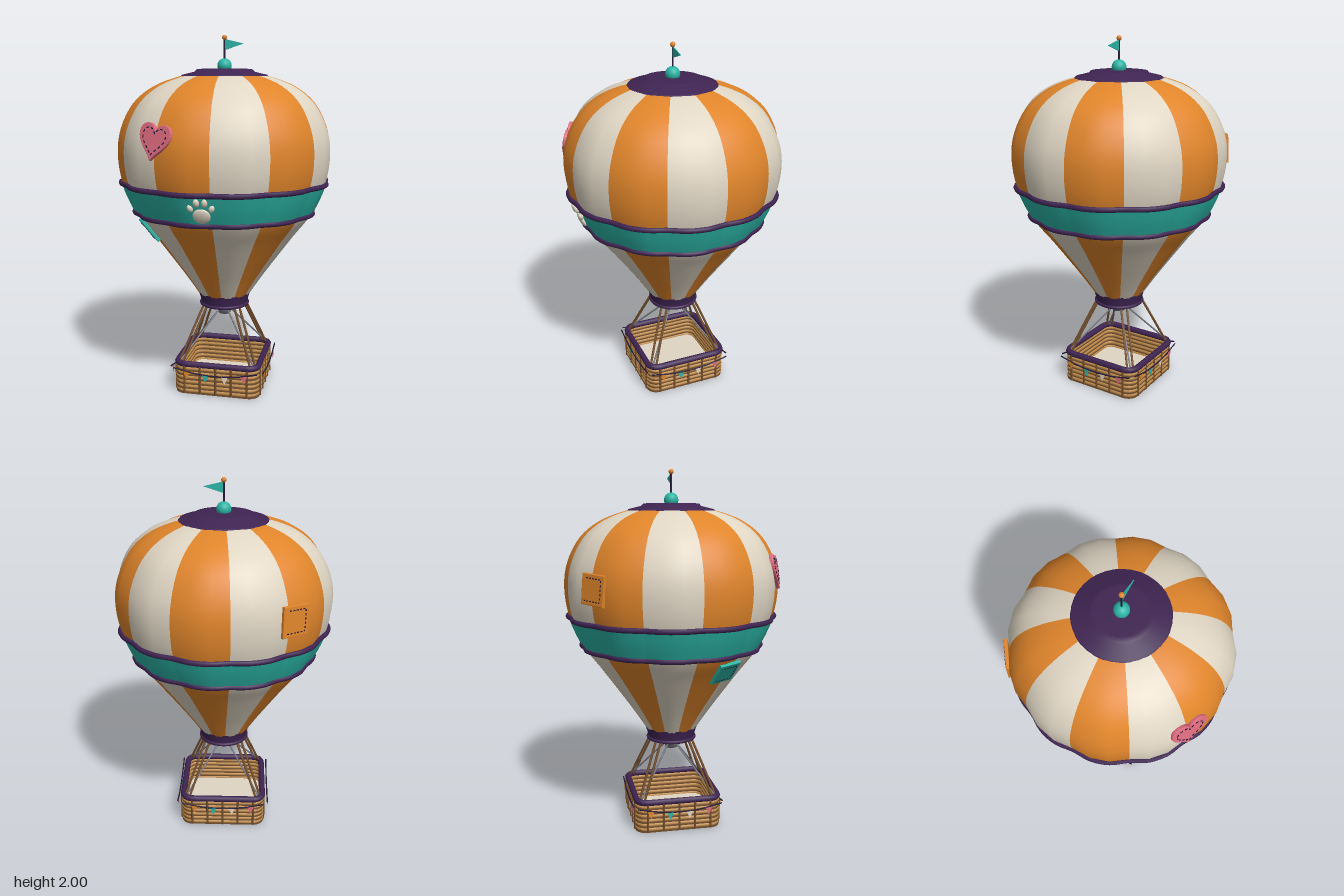
import * as THREE from 'three';

const mat = (name, color, side = THREE.FrontSide) => {
  const m = new THREE.MeshStandardMaterial({ color, side });
  m.name = name;
  return m;
};
const D = THREE.DoubleSide;
const M = {
  orange: mat('orange', 0xe0852b, D), cream: mat('cream', 0xe0d6c4, D), teal: mat('teal', 0x2bb5a6, D),
  purple: mat('purple', 0x3f2452, D), pink: mat('pink', 0xe06c80, D), tan: mat('wicker tan', 0xc08c4c),
  brown: mat('rope brown', 0x75502f), grey: mat('metal grey', 0x7c7c86), dark: mat('dark thread', 0x261a36),
};
const V = (x, y, z) => new THREE.Vector3(x, y, z);
const rad = THREE.MathUtils.degToRad;

function add(parent, name, geo, material, x = 0, y = 0, z = 0) {
  const m = new THREE.Mesh(geo, material);
  m.name = name;
  m.position.set(x, y, z);
  parent.add(m);
  return m;
}
const tube = (pts, r, closed = false, seg = 16, sides = 6) =>
  new THREE.TubeGeometry(new THREE.CatmullRomCurve3(pts, closed), seg, r, sides, closed);
const lathe = (pts, seg = 36) => new THREE.LatheGeometry(pts.map(p => new THREE.Vector2(...p)), seg);

// Balloon outline (radius, height) and the bulge of its twelve gores
const outline = new THREE.SplineCurve([
  [0.135, 0.53], [0.21, 0.645], [0.29, 0.76], [0.39, 0.9], [0.485, 1.03], [0.557, 1.2], [0.58, 1.36],
  [0.56, 1.5], [0.49, 1.635], [0.38, 1.725], [0.24, 1.778], [0.12, 1.795],
].map(p => new THREE.Vector2(...p))).getPoints(44);
const radiusAt = y => {
  const i = Math.max(1, outline.findIndex(p => p.y >= y)), a = outline[i - 1], b = outline[i];
  return a.x + (b.x - a.x) * (y - a.y) / (b.y - a.y);
};
const bulge = deg => {
  const t = (((deg + 25) % 30) + 30) % 30 / 30;
  return 1 + 0.03 * Math.sin(Math.PI * t);
};
const onSkin = (deg, r, y) => V(Math.sin(rad(deg)) * r * bulge(deg), y, Math.cos(rad(deg)) * r * bulge(deg));

// One gore swept up a profile from angle a, 30 degrees wide
function gore(profile, a) {
  const pos = [], idx = [], n = 3;
  profile.forEach((p, j) => {
    for (let i = 0; i <= n; i++) pos.push(...onSkin(a + i * 10, p.x, p.y).toArray());
    if (j) for (let i = 0; i < n; i++) {
      const k = (j - 1) * (n + 1) + i, u = k + n + 1;
      idx.push(k, k + 1, u + 1, k, u + 1, u);
    }
  });
  const g = new THREE.BufferGeometry();
  g.setAttribute('position', new THREE.Float32BufferAttribute(pos, 3));
  g.setIndex(idx);
  g.computeVertexNormals();
  return g;
}

// Group lying on the skin, its z axis pointing outwards
function skinGroup(parent, name, deg, y, roll = 0, lift = 0) {
  const g = new THREE.Group();
  g.name = name;
  g.position.copy(onSkin(deg, radiusAt(y) + lift, y));
  const slope = (radiusAt(y + 0.05) - radiusAt(y - 0.05)) / 0.1;
  g.rotation.set(Math.atan(slope), rad(deg), roll, 'YXZ');
  parent.add(g);
  return g;
}

// Sewn patch: a raised plate with dashes following its edge
function patch(parent, name, shape, material, inset, dashes, ...place) {
  const g = skinGroup(parent, name, ...place);
  add(g, name + 'Plate', new THREE.ExtrudeGeometry(shape, {
    depth: 0.012, bevelEnabled: true, bevelSize: 0.004, bevelThickness: 0.004, bevelSegments: 2, curveSegments: 10,
  }), material);
  const pts = shape.getSpacedPoints(dashes * 2);
  for (let i = 0; i < dashes; i++) {
    const a = pts[2 * i], b = pts[2 * i + 1];
    const s = add(g, name + 'Stitch', new THREE.BoxGeometry(a.distanceTo(b) * inset, 0.005, 0.004), M.dark,
      (a.x + b.x) / 2 * inset, (a.y + b.y) / 2 * inset, 0.017);
    s.rotation.z = Math.atan2(b.y - a.y, b.x - a.x);
  }
}
const square = h => new THREE.Shape([[-h, -h], [h, -h], [h, h], [-h, h]].map(p => new THREE.Vector2(...p)));
function heart() {
  const s = new THREE.Shape();
  s.moveTo(0, -0.095);
  s.bezierCurveTo(0.03, -0.05, 0.1, -0.02, 0.1, 0.035);
  s.bezierCurveTo(0.1, 0.095, 0.02, 0.1, 0, 0.045);
  s.bezierCurveTo(-0.02, 0.1, -0.1, 0.095, -0.1, 0.035);
  s.bezierCurveTo(-0.1, -0.02, -0.03, -0.05, 0, -0.095);
  return s;
}

// Rounded square of half width h and corner radius r
function roundSquare(h, r, Type = THREE.Shape) {
  const s = new Type(), c = h - r;
  s.absarc(c, c, r, 0, Math.PI / 2);
  s.absarc(-c, c, r, Math.PI / 2, Math.PI);
  s.absarc(-c, -c, r, Math.PI, Math.PI * 1.5);
  s.absarc(c, -c, r, Math.PI * 1.5, Math.PI * 2);
  s.closePath();
  return s;
}
const squareRing = (h, r, t) => {
  const pts = roundSquare(h, r).getSpacedPoints(48).slice(0, -1).map(p => V(p.x, 0, p.y));
  return tube(pts, t, true, 72, 8);
};
const slab = (shape, depth) =>
  new THREE.ExtrudeGeometry(shape, { depth, bevelEnabled: false, curveSegments: 6 }).rotateX(-Math.PI / 2);

function buildEnvelope(root) {
  const g = new THREE.Group();
  g.name = 'envelope';
  root.add(g);
  const bandProfile = [1.035, 1.09, 1.145, 1.2].map(y => new THREE.Vector2(radiusAt(y) + 0.006, y));
  for (let i = 0; i < 12; i++) {
    const a = -25 + 30 * i;
    add(g, 'gore', gore(outline, a), i % 2 ? M.cream : M.orange);
    add(g, 'band', gore(bandProfile, a), M.teal);
  }
  for (const y of [1.035, 1.2]) {
    const pts = [];
    for (let i = 0; i < 36; i++) pts.push(onSkin(5 + i * 10, radiusAt(y) + 0.006, y));
    add(g, 'bandTrim', tube(pts, 0.014, true, 108, 8), M.purple);
  }
  // Crown cap, skirt and hem
  add(g, 'crownCap', lathe([[0.247, 1.772], [0.235, 1.786], [0.165, 1.803], [0.155, 1.815], [0.13, 1.818], [0, 1.82]]), M.purple);
  add(g, 'skirt', lathe([[0.133, 0.485], [0.14, 0.52], [0.151, 0.552]]), M.purple);
  add(g, 'skirtHem', new THREE.TorusGeometry(0.134, 0.01, 8, 36).rotateX(Math.PI / 2), M.purple, 0, 0.485, 0);

  // Sewn patches
  patch(g, 'heartPatch', heart(), M.pink, 0.76, 16, -24.5, 1.46, -0.12);
  patch(g, 'orangePatch', square(0.076), M.orange, 0.76, 16, -142, 1.39, -0.06);
  patch(g, 'tealPatch', square(0.066), M.teal, 0.74, 16, -60, 0.945, 0.08);

  // Paw badge
  const paw = skinGroup(g, 'pawBadge', 0, 1.115, 0, 0.008);
  const pad = (x, y, w, h, roll = 0) => {
    const p = add(paw, 'pawPad', new THREE.SphereGeometry(1, 16, 10), M.cream, x, y, 0);
    p.scale.set(w, h, 0.014);
    p.rotation.z = roll;
  };
  pad(0, -0.025, 0.047, 0.043);
  for (const s of [-1, 1]) {
    pad(s * 0.055, 0.02, 0.015, 0.021, s * -0.4);
    pad(s * 0.021, 0.052, 0.016, 0.023, s * -0.1);
  }
}

function buildFinial(root) {
  add(root, 'crownBall', new THREE.SphereGeometry(0.04, 20, 14), M.teal, 0, 1.835, 0);
  add(root, 'flagPole', new THREE.CylinderGeometry(0.005, 0.005, 0.13, 8), M.dark, 0, 1.92, 0);
  add(root, 'poleTip', new THREE.SphereGeometry(0.014, 14, 10), M.orange, 0, 1.986, 0);
  const flag = new THREE.Shape([[0, 1.918], [0.108, 1.952], [0, 1.978]].map(p => new THREE.Vector2(...p)));
  add(root, 'flag', new THREE.ExtrudeGeometry(flag, { depth: 0.004, bevelEnabled: false }), M.teal, 0, 0, -0.002);
}

function buildBasket(root) {
  const g = new THREE.Group();
  g.name = 'basket';
  root.add(g);
  add(g, 'base', slab(roundSquare(0.242, 0.06), 0.012), M.brown);
  add(g, 'floor', slab(roundSquare(0.222, 0.05), 0.006), M.cream, 0, 0.012, 0);
  const wall = roundSquare(0.24, 0.06);
  wall.holes.push(roundSquare(0.228, 0.05, THREE.Path));
  add(g, 'wall', slab(wall, 0.165), M.brown, 0, 0.006, 0);
  for (let i = 0; i < 6; i++) add(g, 'wickerRow', squareRing(0.234, 0.055, 0.012), M.tan, 0, 0.018 + i * 0.0265, 0);
  add(g, 'rim', squareRing(0.233, 0.055, 0.018), M.purple, 0, 0.175, 0);

  // Each side carries stakes and a string of pennants
  const colours = [M.orange, M.teal, M.cream, M.pink];
  for (let k = 0; k < 4; k++) {
    const side = new THREE.Group();
    side.name = 'basketSide';
    side.rotation.y = k * Math.PI / 2;
    g.add(side);
    for (const x of [-0.18, -0.09, 0, 0.09, 0.18])
      add(side, 'stake', new THREE.CylinderGeometry(0.007, 0.007, 0.165, 6), M.brown, x, 0.086, 0.243);
    const z = k % 2 ? 0.265 : 0.254, sag = x => 0.122 + 0.033 * (x / 0.24) ** 2;
    add(side, 'pennantString', tube([-0.24, -0.12, 0, 0.12, 0.24].map(x => V(x, sag(x), z)), 0.004), M.dark);
    colours.forEach((c, i) => {
      const x = -0.165 + i * 0.11, y = sag(x);
      const tri = new THREE.Shape([[-0.019, 0], [0, -0.046], [0.019, 0]].map(p => new THREE.Vector2(...p)));
      add(side, 'pennant', new THREE.ExtrudeGeometry(tri, { depth: 0.003, bevelEnabled: false }), c, x, y, z);
    });
  }
}

function buildRigging(root) {
  // Burner under the skirt
  add(root, 'burner', lathe([[0, 0.418], [0.034, 0.418], [0.038, 0.438], [0.046, 0.442], [0.046, 0.464], [0.03, 0.468], [0, 0.468]], 20), M.grey);
  add(root, 'burnerNozzle', new THREE.CylinderGeometry(0.018, 0.024, 0.03, 16), M.purple, 0, 0.48, 0);
  // Paired ropes and a burner strut at every corner
  for (const sx of [-1, 1]) for (const sz of [-1, 1]) {
    for (const [a, b] of [[0.012, 0.012], [-0.012, -0.012]])
      add(root, 'rope', tube([V(sx * (0.09 + a), 0.49, sz * (0.09 - a)), V(sx * (0.145 + a), 0.345, sz * (0.145 - a)),
        V(sx * (0.206 + b), 0.18, sz * (0.206 - b))], 0.007), M.brown);
    add(root, 'burnerStrut', tube([V(sx * 0.028, 0.437, sz * 0.028), V(sx * 0.12, 0.31, sz * 0.12),
      V(sx * 0.21, 0.185, sz * 0.21)], 0.005), M.grey);
  }
}

export function createModel() {
  const root = new THREE.Group();
  root.name = 'hotAirBalloon';
  buildEnvelope(root);
  buildFinial(root);
  buildBasket(root);
  buildRigging(root);
  return root;
}
